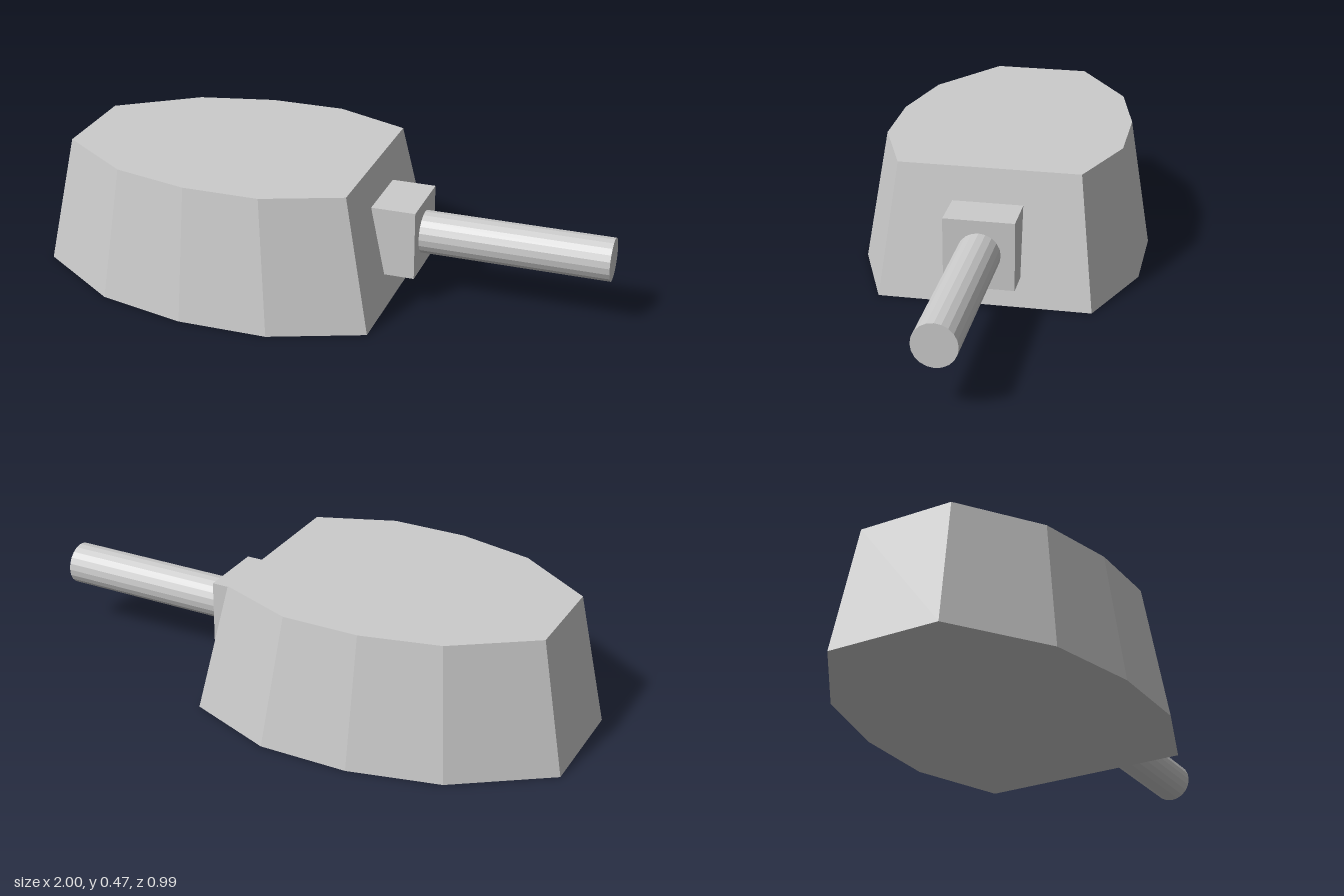
import * as THREE from 'three';

const material = new THREE.MeshStandardMaterial({ color: 0xcccccc, flatShading: true });

function addPart(group, name, geometry, x = 0, y = 0, z = 0) {
  const mesh = new THREE.Mesh(geometry, material);
  mesh.name = name;
  mesh.position.set(x, y, z);
  group.add(mesh);
  return mesh;
}

// Ten-sided shell whose roof is the floor outline shrunk about its middle
function shellGeometry(height, taper, centreX) {
  const side = [[-1, 0.2], [-0.685, 0.42], [-0.37, 0.495], [-0.055, 0.495], [0.26, 0.372]];
  const mirrored = side.map(([x, z]) => [x, -z]).reverse();
  const outline = [...side, ...mirrored].map(([x, z]) => new THREE.Vector2(x, z));
  const geometry = new THREE.ExtrudeGeometry(new THREE.Shape(outline), {
    depth: height, bevelEnabled: false,
  });
  geometry.rotateX(-Math.PI / 2);
  const p = geometry.attributes.position;
  for (let i = 0; i < p.count; i++) {
    if (p.getY(i) < height / 2) continue;
    p.setX(i, centreX + (p.getX(i) - centreX) * taper);
    p.setZ(i, p.getZ(i) * taper);
  }
  geometry.computeVertexNormals();
  return geometry;
}

export function createModel() {
  const model = new THREE.Group();
  model.name = 'turret';

  // Tapered armoured shell
  addPart(model, 'turretShell', shellGeometry(0.465, 0.85, -0.37));

  // Square mount, sunk into the sloping face
  addPart(model, 'gunMount', new THREE.BoxGeometry(0.245, 0.245, 0.245), 0.2225, 0.225, 0);

  // Barrel, starting inside the mount
  const barrel = new THREE.CylinderGeometry(0.075, 0.075, 0.75, 20);
  barrel.rotateZ(-Math.PI / 2);
  addPart(model, 'gunBarrel', barrel, 0.625, 0.228, 0);

  return model;
}
